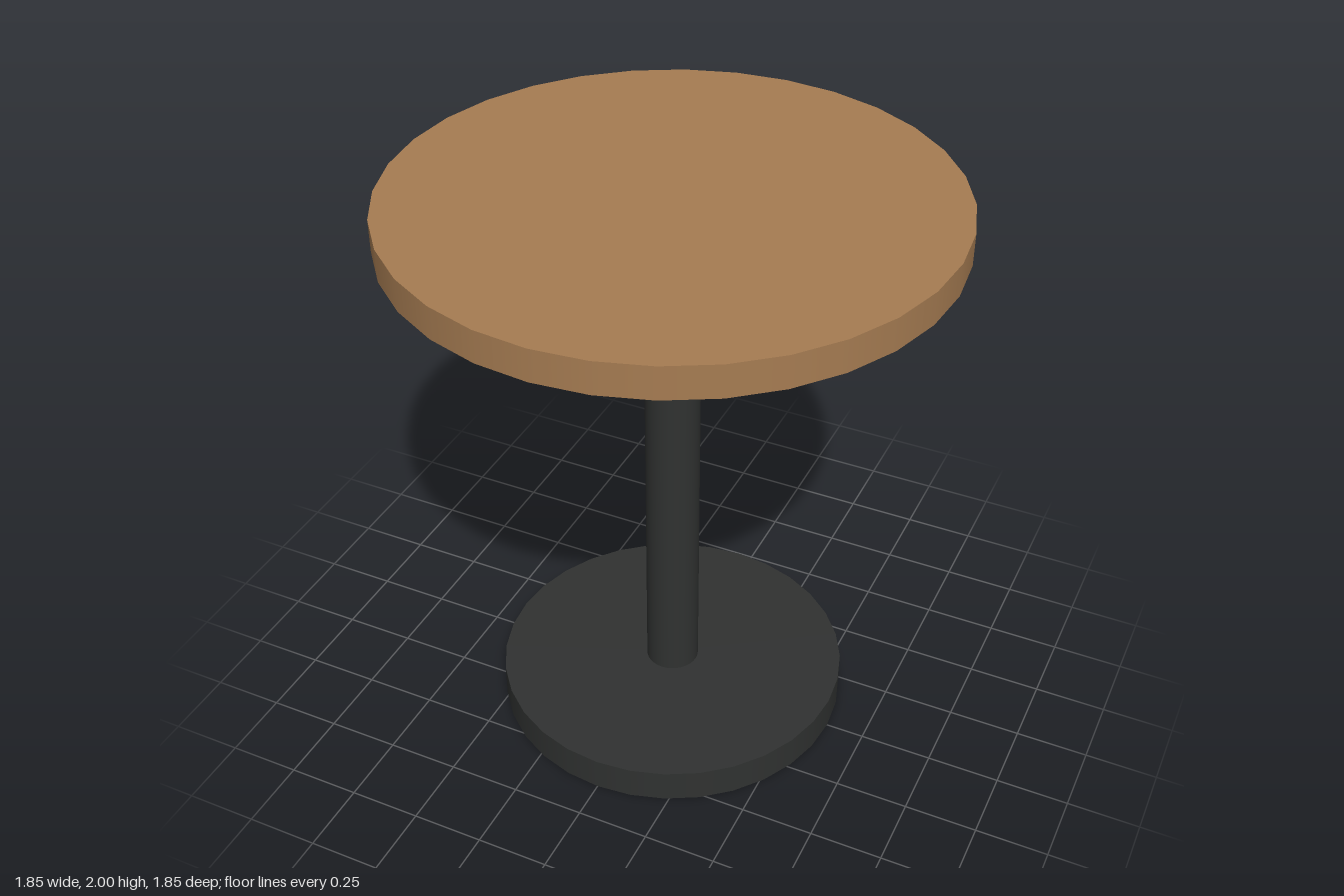
import * as THREE from 'three';

const wood = new THREE.MeshStandardMaterial({ color: 0xa67c52 });
const metal = new THREE.MeshStandardMaterial({ color: 0x303231 });

// Upright disc or post spanning y0 to y1
function disc(name, radius, y0, y1, material) {
  const mesh = new THREE.Mesh(new THREE.CylinderGeometry(radius, radius, y1 - y0, 32), material);
  mesh.name = name;
  mesh.position.y = (y0 + y1) / 2;
  return mesh;
}

export function createModel() {
  const table = new THREE.Group();
  table.name = 'pedestalTable';
  table.add(
    disc('base', 0.615, 0, 0.12, metal),
    disc('post', 0.093, 0.12, 1.812, metal),
    // The top floats slightly above the post
    disc('tableTop', 0.923, 1.89, 2, wood),
  );
  return table;
}
